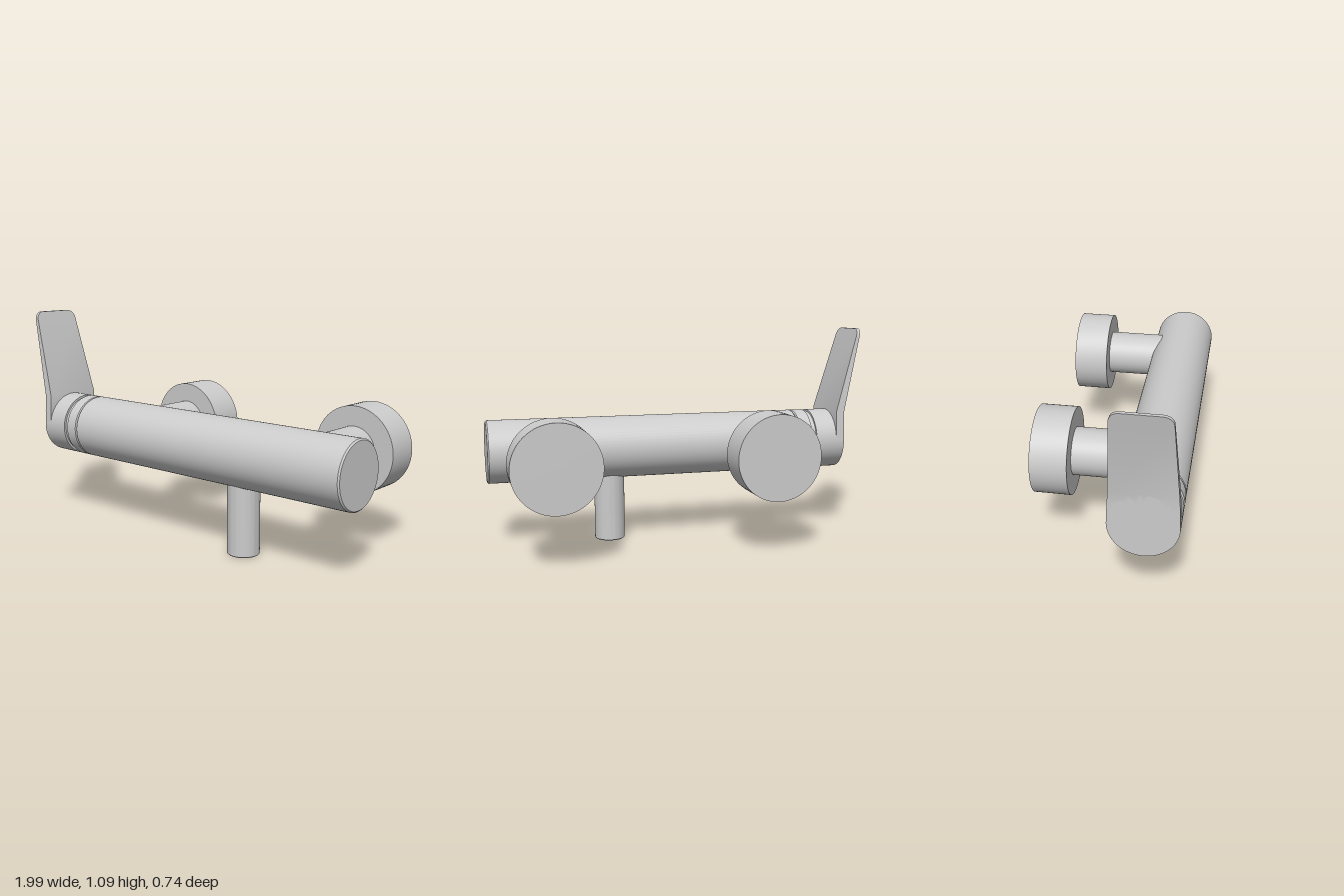
import * as THREE from 'three';
import { toCreasedNormals } from 'three/addons/utils/BufferGeometryUtils.js';

const AXIS_Y = 0.485, AXIS_Z = 0.208, R = 0.16;
const material = new THREE.MeshStandardMaterial({ color: 0xcccccc });

function add(parent, name, geometry) {
  const mesh = new THREE.Mesh(toCreasedNormals(geometry, 0.5), material);
  mesh.name = name;
  parent.add(mesh);
  return mesh;
}

// Solid of revolution around y from [radius, height] pairs, lowest first
function turned(points) {
  return new THREE.LatheGeometry(points.map(([r, h]) => new THREE.Vector2(r, h)), 64);
}

// Flat lever lofted from rectangles stacked in y: [y, outer x, inner x, half width]
function leverGeometry() {
  const outerX = y => -0.9 - 0.1 * Math.max(0, (y - 0.645) / 0.445);
  const innerX = y => -0.855 - 0.128 * Math.max(0, (y - 0.645) / 0.445);
  const rows = [[0.5, 0.159], [0.56, 0.157], [0.645, 0.152], [1.045, 0.13]];
  // rounded upper corners
  for (let i = 1; i <= 8; i++) {
    const a = (i / 8) * Math.PI / 2;
    rows.push([1.045 + 0.045 * Math.sin(a), 0.085 + 0.045 * Math.cos(a)]);
  }
  const positions = [], index = [];
  for (const [y, w] of rows) {
    const o = outerX(y), n = innerX(y);
    positions.push(o, y, AXIS_Z - w, o, y, AXIS_Z + w, n, y, AXIS_Z + w, n, y, AXIS_Z - w);
  }
  for (let r = 0; r < rows.length - 1; r++) {
    for (let k = 0; k < 4; k++) {
      const a = r * 4 + k, b = r * 4 + (k + 1) % 4;
      index.push(a, b, b + 4, a, b + 4, a + 4);
    }
  }
  const t = (rows.length - 1) * 4;
  index.push(0, 2, 1, 0, 3, 2, t, t + 1, t + 2, t, t + 2, t + 3);
  const g = new THREE.BufferGeometry();
  g.setAttribute('position', new THREE.Float32BufferAttribute(positions, 3));
  g.setIndex(index);
  return g;
}

export function createModel() {
  const model = new THREE.Group();
  model.name = 'mixerTap';

  // Horizontal barrel with chamfered ends, collar and turning knob
  const barrel = new THREE.Group();
  barrel.name = 'barrel';
  barrel.position.set(0, AXIS_Y, AXIS_Z);
  barrel.rotation.z = -Math.PI / 2;
  model.add(barrel);
  add(barrel, 'body', turned([[0, -0.646], [0.153, -0.646], [R, -0.641], [R, 0.987], [0.153, 0.994], [0, 0.994]]));
  add(barrel, 'collar', turned([[0, -0.717], [R, -0.717], [R, -0.653], [0.153, -0.648], [0, -0.648]]));
  add(barrel, 'grooveNeck', turned([[0, -0.76], [0.149, -0.76], [0.149, -0.7], [0, -0.7]]));
  add(barrel, 'knob', turned([[0, -0.9], [R, -0.9], [R, -0.742], [0, -0.742]]));

  // Lever rising from the knob
  add(model, 'lever', leverGeometry());

  // Two wall connections with round cover plates
  for (const [side, x] of [['right', -0.365], ['left', 0.71]]) {
    const inlet = new THREE.Group();
    inlet.name = side + 'WallInlet';
    inlet.position.set(x, AXIS_Y, 0);
    inlet.rotation.x = Math.PI / 2;
    model.add(inlet);
    add(inlet, side + 'InletPipe', turned([[0, -0.2], [0.117, -0.2], [0.117, 0.19], [0, 0.19]]));
    add(inlet, side + 'WallFlange', turned([[0, -0.37], [0.214, -0.37], [0.214, -0.192], [0, -0.192]]));
  }

  // Outlet below the body
  const outlet = add(model, 'outlet', turned([[0, 0], [0.074, 0], [0.078, 0.004], [0.078, 0.42], [0, 0.42]]));
  outlet.position.set(0.367, 0, AXIS_Z);

  return model;
}
